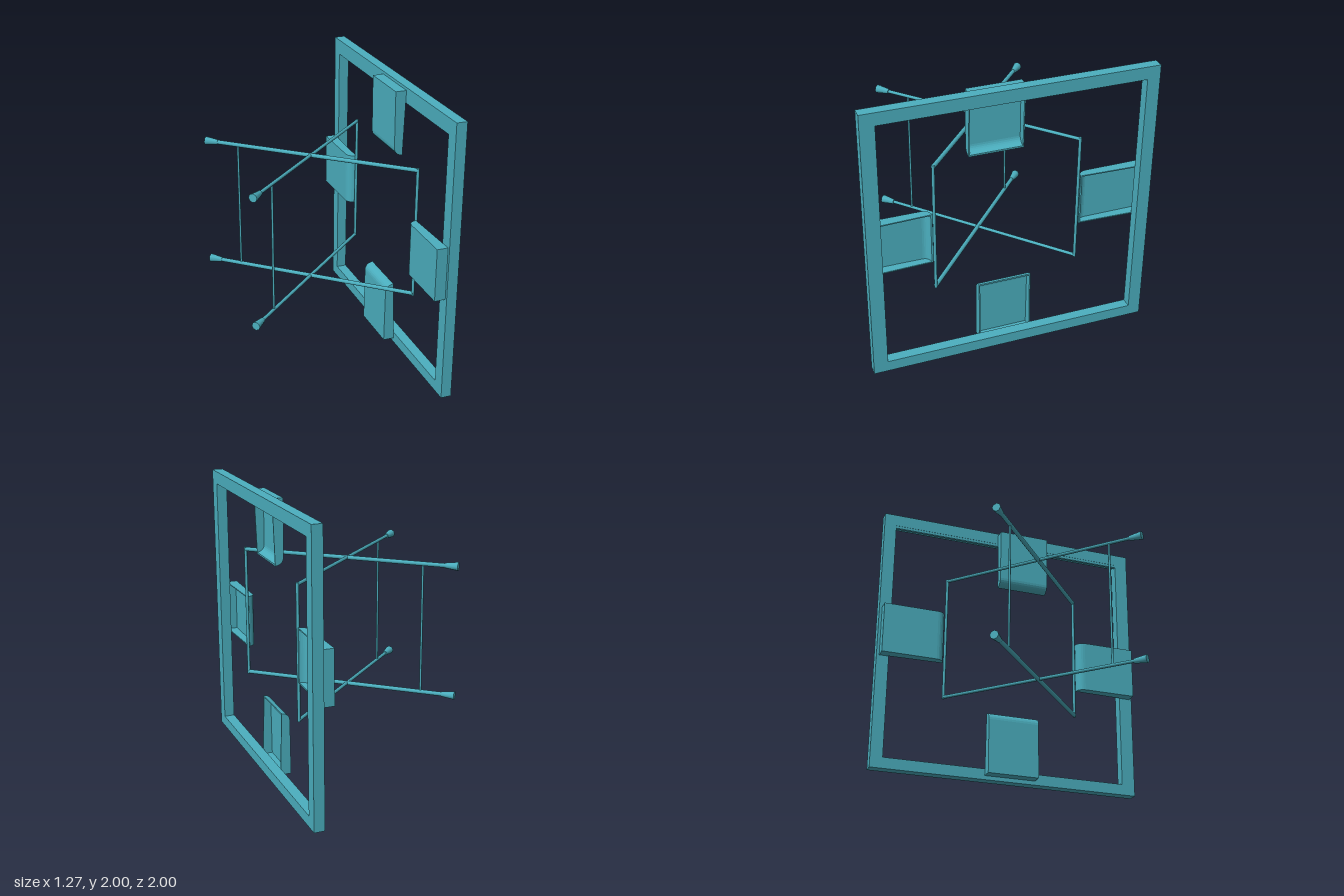
import * as THREE from 'three';

const teal = new THREE.MeshStandardMaterial({ color: 0x4bafbf });
teal.name = 'teal';

function mesh(name, geometry) {
  const m = new THREE.Mesh(geometry, teal);
  m.name = name;
  return m;
}

// Straight round bar between two points, optionally flared at the far end
function bar(name, a, b, r, rEnd = r, sides = 10) {
  const d = b.clone().sub(a);
  const m = mesh(name, new THREE.CylinderGeometry(rEnd, r, d.length(), sides));
  m.position.copy(a).addScaledVector(d, 0.5);
  m.quaternion.setFromUnitVectors(new THREE.Vector3(0, 1, 0), d.normalize());
  return m;
}

function extrude(shape, depth, z) {
  return new THREE.ExtrudeGeometry(shape, { depth, bevelEnabled: false, curveSegments: 6 }).translate(0, 0, z);
}

// Square border standing in the yz plane
function createFrame() {
  const g = new THREE.Group();
  g.name = 'topFrame';
  const s = new THREE.Shape();
  s.moveTo(-1, 0).lineTo(1, 0).lineTo(1, 2).lineTo(-1, 2).closePath();
  const h = new THREE.Path();
  h.moveTo(-0.9, 0.08).lineTo(-0.9, 1.91).lineTo(0.91, 1.91).lineTo(0.91, 0.08).closePath();
  s.holes.push(h);
  // shape x maps to -z, extrusion runs along +x
  const geo = new THREE.ExtrudeGeometry(s, { depth: 0.075, bevelEnabled: false });
  geo.rotateY(Math.PI / 2).translate(0.56, 0, 0);
  const lip = mesh('topLip', new THREE.BoxGeometry(0.02, 0.03, 1.82));
  lip.position.set(0.572, 1.905, 0);
  g.add(mesh('border', geo), lip);
  return g;
}

// Shallow seat tray, open toward +x; local y runs from the border to the rounded free end
function createSeat(name, length, width) {
  const g = new THREE.Group();
  g.name = name;
  const t = 0.008, L = length;
  const outer = (p) => p.moveTo(0.56, 0).lineTo(0.482, 0).lineTo(0.485, L - 0.06)
    .quadraticCurveTo(0.487, L - 0.008, 0.545, L);
  const shell = outer(new THREE.Shape());
  shell.lineTo(0.545, L - 0.012).quadraticCurveTo(0.497, L - 0.02, 0.494, L - 0.06)
    .lineTo(0.491, t).lineTo(0.56, t).closePath();
  g.add(mesh('shell', extrude(shell, width - 2 * t, -width / 2 + t)));
  const side = outer(new THREE.Shape()).closePath();
  for (const z of [-width / 2, width / 2 - t]) g.add(mesh('sideWall', extrude(side, t, z)));
  return g;
}

// U-shaped leg: two long bars, an end bar, a thin brace and two flared feet
function createLeg(name, foot, hinge, r) {
  const g = new THREE.Group();
  g.name = name;
  const at = (x, y) => new THREE.Vector3(x, y,
    foot[1] + (hinge[1] - foot[1]) * (x - foot[0]) / (hinge[0] - foot[0]));
  const low = 0.57, high = 1.5;
  for (const y of [low, high]) {
    g.add(bar('longBar', at(foot[0], y), at(hinge[0], y), r));
    g.add(bar('foot', at(foot[0] + 0.07, y), at(foot[0], y), 0.018, 0.031, 8));
  }
  g.add(bar('endBar', at(hinge[0], low - r), at(hinge[0], high + r), 0.011));
  g.add(bar('brace', at(-0.43, low), at(-0.43, high), 0.008));
  return g;
}

export function createModel() {
  const model = new THREE.Group();
  model.name = 'foldingTable';
  model.add(createFrame());

  // name, length, y, z, turn about x
  const seats = [
    ['bottomSeat', 0.46, 0.03, 0.02, 0],
    ['topSeat', 0.46, 1.98, 0.09, Math.PI],
    ['frontSeat', 0.45, 0.95, 0.98, -Math.PI / 2],
    ['backSeat', 0.465, 1.025, -0.98, Math.PI / 2],
  ];
  for (const [name, length, y, z, turn] of seats) {
    const seat = createSeat(name, length, 0.38);
    seat.position.set(0, y, z);
    seat.rotation.x = turn;
    model.add(seat);
  }

  // Two crossing legs
  model.add(createLeg('backLeg', [-0.615, -0.51], [0.55, 0.52], 0.015));
  model.add(createLeg('frontLeg', [-0.615, 0.56], [0.54, -0.5], 0.012));
  return model;
}
